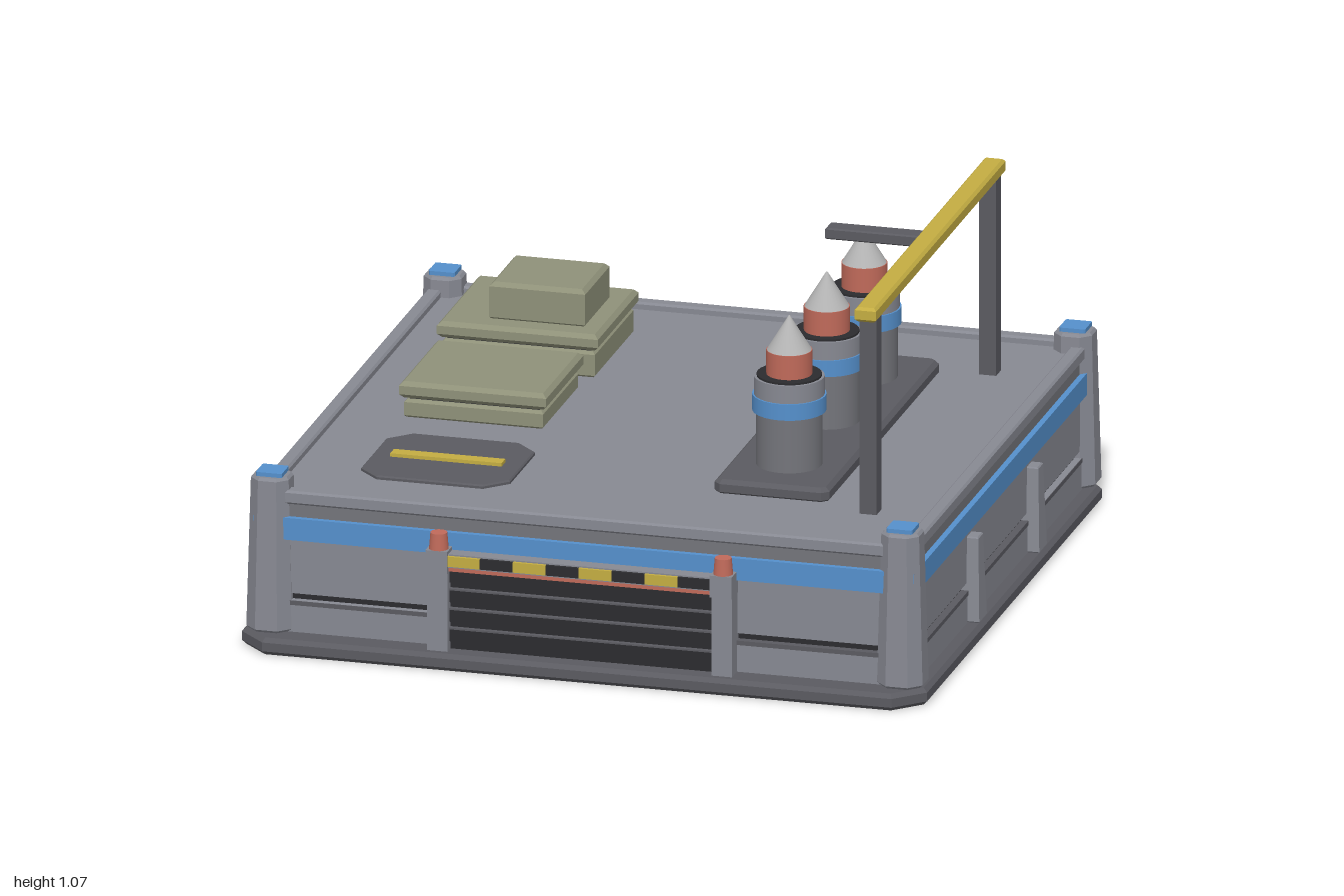
import * as THREE from 'three';

const mat = (name, color) => new THREE.MeshStandardMaterial({ name, color });

export function createModel() {
  const M = {
    steel: mat('steel grey', 0x878992),
    tube: mat('tube grey', 0x74757b),
    gun: mat('gunmetal', 0x5b5b61),
    black: mat('black', 0x2c2c2f),
    blue: mat('blue', 0x5590cc),
    yellow: mat('yellow', 0xc4ad42),
    red: mat('signal red', 0xc06a5a),
    khaki: mat('khaki', 0x8f9179),
    silver: mat('silver', 0xb4b4b4),
  };
  const root = new THREE.Group();
  root.name = 'launchPlatform';
  const ZC = -0.02; // hull is set slightly back on its base

  const add = (name, geo, m, x = 0, y = 0, z = 0, parent = root) => {
    const mesh = new THREE.Mesh(geo, m);
    mesh.name = name;
    mesh.position.set(x, y, z);
    parent.add(mesh);
    return mesh;
  };
  // Box given by its limits on each axis
  const box = (name, m, x0, x1, y0, y1, z0, z1, parent) =>
    add(name, new THREE.BoxGeometry(x1 - x0, y1 - y0, z1 - z0), m,
      (x0 + x1) / 2, (y0 + y1) / 2, (z0 + z1) / 2, parent);

  // Upright slab with cut corners and bevelled top and bottom, standing on y = 0
  const slab = (w, d, h, cut, bevel) => {
    const a = w / 2 - bevel, b = d / 2 - bevel, c = cut;
    const shape = new THREE.Shape([
      [-a + c, -b], [a - c, -b], [a, -b + c], [a, b - c],
      [a - c, b], [-a + c, b], [-a, b - c], [-a, -b + c],
    ].map(([x, y]) => new THREE.Vector2(x, y)));
    const geo = new THREE.ExtrudeGeometry(shape, {
      depth: h - 2 * bevel, bevelEnabled: bevel > 0,
      bevelSize: bevel, bevelThickness: bevel, bevelSegments: 1,
    });
    return geo.rotateX(-Math.PI / 2).translate(0, bevel, 0);
  };
  const slabAt = (name, m, x0, x1, y0, y1, z0, z1, cut, bevel) =>
    add(name, slab(x1 - x0, z1 - z0, y1 - y0, cut, bevel), m, (x0 + x1) / 2, y0, (z0 + z1) / 2);

  // Narrow a standing geometry towards its top
  const taper = (geo, h, kx, kz = kx) => {
    const p = geo.attributes.position;
    for (let i = 0; i < p.count; i++) {
      const t = p.getY(i) / h;
      p.setX(i, p.getX(i) * (1 + (kx - 1) * t));
      p.setZ(i, p.getZ(i) * (1 + (kz - 1) * t));
    }
    geo.computeVertexNormals();
    return geo;
  };

  // Base
  slabAt('base', M.gun, -1, 1, 0, 0.05, -1, 1, 0.075, 0.012);

  // Hull in stacked courses: [name, material, y0, y1, half width, half depth]
  [
    ['lowerPanel', M.steel, 0.05, 0.143, 0.955, 0.94],
    ['panelGroove', M.black, 0.143, 0.163, 0.935, 0.92],
    ['upperPanel', M.steel, 0.163, 0.325, 0.95, 0.935],
    ['blueBand', M.blue, 0.325, 0.39, 0.965, 0.95],
    ['upperCourse', M.tube, 0.39, 0.43, 0.948, 0.933],
    ['deck', M.steel, 0.43, 0.447, 0.94, 0.925],
  ].forEach(([n, m, y0, y1, hx, hz]) => box(n, m, -hx, hx, y0, y1, ZC - hz, ZC + hz));
  box('grooveLip', M.gun, -0.957, 0.957, 0.13, 0.143, ZC - 0.942, ZC + 0.942);

  // Rails round the deck
  for (const s of [-1, 1]) {
    slabAt('sideRail', M.steel, s * 0.938 - 0.021, s * 0.938 + 0.021, 0.428, 0.468, ZC - 0.92, ZC + 0.92, 0, 0.006);
    slabAt('endRail', M.steel, -0.93, 0.93, 0.428, 0.468,
      ZC + s * 0.922 - 0.021, ZC + s * 0.922 + 0.021, 0, 0.006);
  }

  // Corner pillars with blue caps
  for (const sx of [-1, 1]) for (const sz of [-1, 1]) {
    const x = sx * 0.92, z = ZC + sz * 0.907;
    add('cornerPillar', taper(slab(0.134, 0.134, 0.455, 0.03, 0.008), 0.455, 0.82), M.steel, x, 0.05, z);
    add('pillarCap', slab(0.076, 0.076, 0.017, 0.004, 0), M.blue, x, 0.5, z);
  }

  // Tapered ribs on both sides and the back
  const rib = (x, z, turn) => {
    add('rib', taper(slab(0.08, 0.07, 0.25, 0, 0.004), 0.25, 0.62, 0.8), M.steel, x, 0.05, z).rotation.y = turn;
  };
  for (const s of [-1, 1]) {
    for (const sx of [-1, 1]) rib(sx * 0.955, ZC + s * 0.315, Math.PI / 2);
    rib(s * 0.32, ZC - 0.94, 0);
  }

  // Front shutter door
  const door = new THREE.Group();
  door.name = 'shutterDoor';
  root.add(door);
  box('doorPanel', M.black, -0.39, 0.39, 0.05, 0.295, 0.9, 0.94, door);
  for (let i = 0; i < 4; i++) {
    const y = 0.075 + i * 0.058;
    box('doorSlat', M.black, -0.385, 0.385, y, y + 0.036, 0.93, 0.952, door);
    box('slatEdge', M.gun, -0.385, 0.385, y + 0.036, y + 0.041, 0.93, 0.954, door);
  }
  box('lintel', M.steel, -0.39, 0.39, 0.3, 0.34, 0.91, 0.972, door);
  box('doorLightStrip', M.red, -0.385, 0.385, 0.288, 0.3, 0.93, 0.968, door);
  for (let i = 0; i < 8; i++) {
    const x = -0.385 + i * 0.09625;
    box('hazardStripe', i % 2 ? M.black : M.yellow, x, x + 0.09625, 0.306, 0.336, 0.972, 0.981, door);
  }
  for (const s of [-1, 1]) {
    box('doorPost', M.steel, s * 0.415 - 0.03, s * 0.415 + 0.03, 0.05, 0.285, 0.9, 0.972, door);
    box('postHead', M.steel, s * 0.415 - 0.032, s * 0.415 + 0.032, 0.285, 0.35, 0.9, 0.982, door);
    add('beacon', new THREE.CylinderGeometry(0.024, 0.028, 0.048, 16), M.red, s * 0.415, 0.374, 0.955, door);
  }

  // Khaki crates, each with a body, a seam and an overhanging lid
  const crate = (x0, x1, z0, z1, seam, top) => {
    slabAt('crateBody', M.khaki, x0 + 0.012, x1 - 0.012, 0.445, seam, z0 + 0.012, z1 - 0.012, 0, 0.008);
    box('crateSeam', M.black, x0 + 0.025, x1 - 0.025, seam - 0.01, seam + 0.015, z0 + 0.025, z1 - 0.025);
    slabAt('crateLid', M.khaki, x0, x1, seam + 0.006, top, z0, z1, 0, 0.012);
  };
  crate(-0.77, -0.3, -0.73, -0.3, 0.523, 0.577);
  crate(-0.75, -0.32, -0.22, 0.17, 0.5, 0.555);
  slabAt('upperCrate', M.khaki, -0.635, -0.355, 0.57, 0.685, -0.622, -0.365, 0, 0.012);

  // Deck hatch with handle
  slabAt('hatch', M.gun, -0.73, -0.295, 0.44, 0.458, 0.315, 0.7, 0.06, 0.004);
  box('hatchHandle', M.yellow, -0.675, -0.35, 0.455, 0.468, 0.49, 0.53);

  // Launcher plate and three loaded tubes
  slabAt('launcherPlate', M.gun, 0.275, 0.61, 0.44, 0.487, -0.63, 0.56, 0.012, 0.012);
  const cyl = (name, m, r0, r1, y0, y1, parent) =>
    add(name, new THREE.CylinderGeometry(r1, r0, y1 - y0, 28), m, 0, (y0 + y1) / 2, 0, parent);
  for (let i = -1; i <= 1; i++) {
    const g = new THREE.Group();
    g.name = 'launchTube';
    g.position.set(0.443, 0, -0.032 + i * 0.394);
    root.add(g);
    cyl('tubeBody', M.tube, 0.094, 0.094, 0.48, 0.65, g);
    cyl('tubeBand', M.blue, 0.105, 0.105, 0.647, 0.695, g);
    cyl('tubeCollar', M.steel, 0.1, 0.1, 0.695, 0.748, g);
    cyl('tubeMouth', M.black, 0.092, 0.092, 0.745, 0.754, g);
    cyl('missileNeck', M.red, 0.065, 0.065, 0.75, 0.825, g);
    cyl('missileNose', M.silver, 0.063, 0.002, 0.825, 0.925, g);
  }

  // Gantry: two posts, a yellow beam and a reaching arm
  for (const z of [0.598, -0.658]) {
    slabAt('gantryPost', M.gun, 0.72, 0.77, 0.44, 1.03, z - 0.025, z + 0.025, 0, 0.004);
  }
  slabAt('gantryBeam', M.yellow, 0.713, 0.776, 1.025, 1.068, -0.712, 0.65, 0, 0.008);
  slabAt('gantryArm', M.gun, 0.445, 0.725, 1.03, 1.063, -0.064, -0.006, 0, 0.004);

  return root;
}
